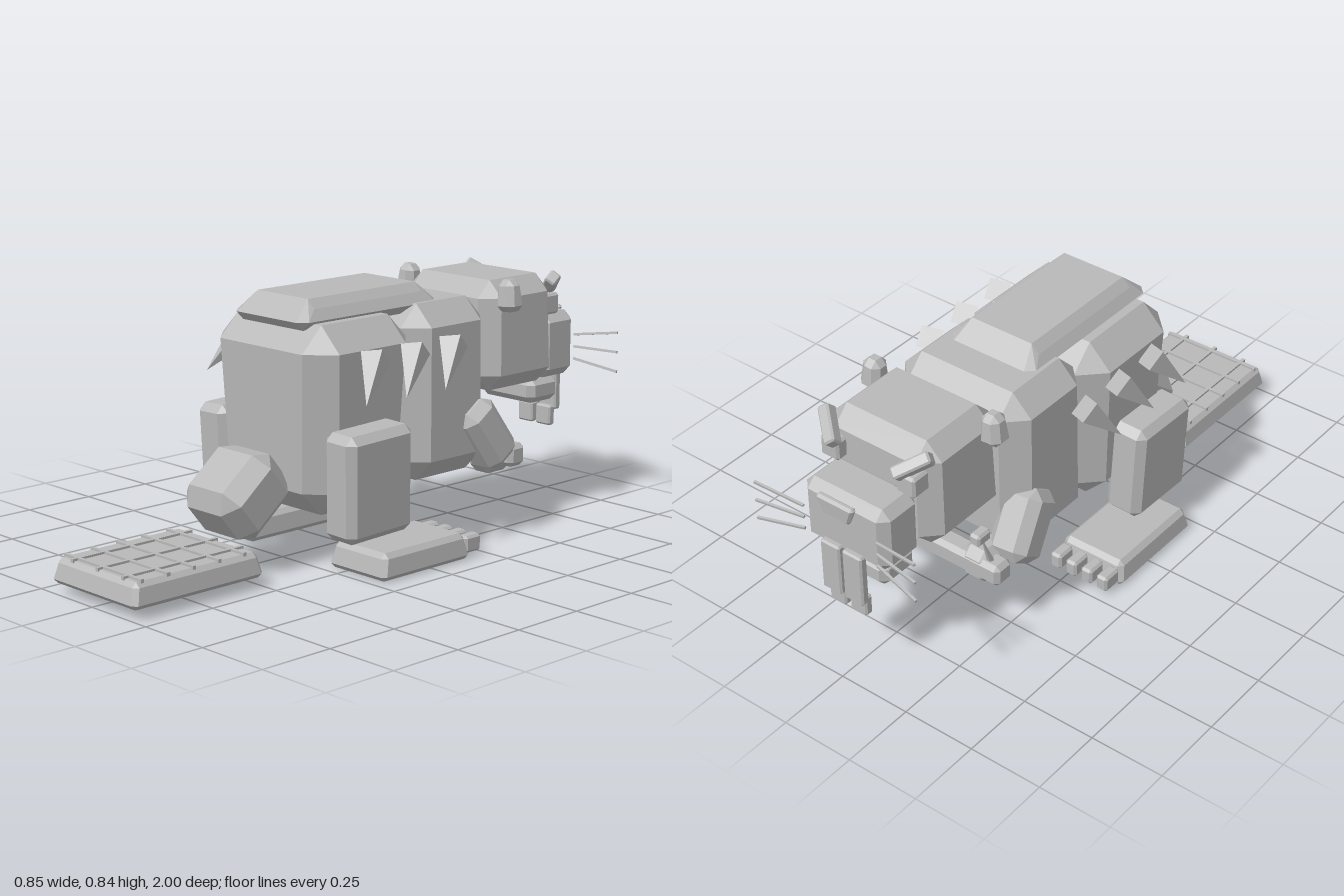
import * as THREE from 'three';
import { ConvexGeometry } from 'three/addons/geometries/ConvexGeometry.js';

const furGrey = new THREE.MeshStandardMaterial({ color: 0xb8b8b8 });
furGrey.name = 'furGrey';

// Box with bevelled edges; top and bottom are scaled in x and z for a taper
function bevelBox(w, h, d, c, top = 1, bottom = 1) {
  const points = [];
  for (const sx of [-1, 1]) for (const sy of [-1, 1]) for (const sz of [-1, 1]) {
    const t = sy > 0 ? top : bottom;
    const x = (w / 2) * t, y = h / 2, z = (d / 2) * t;
    points.push(
      new THREE.Vector3(sx * x, sy * (y - c), sz * (z - c)),
      new THREE.Vector3(sx * (x - c), sy * y, sz * (z - c)),
      new THREE.Vector3(sx * (x - c), sy * (y - c), sz * z));
  }
  return new ConvexGeometry(points);
}

export function createModel() {
  const model = new THREE.Group();
  model.name = 'beaver';

  function add(name, geometry, pos, rot = [0, 0, 0]) {
    const mesh = new THREE.Mesh(geometry, furGrey);
    mesh.name = name;
    mesh.position.set(...pos);
    mesh.rotation.set(...rot);
    model.add(mesh);
    return mesh;
  }
  // Places a geometry with its +y axis running from a to b
  function span(name, a, b, makeGeometry) {
    const from = new THREE.Vector3(...a), to = new THREE.Vector3(...b);
    const mesh = add(name, makeGeometry(from.distanceTo(to)), from.clone().lerp(to, 0.5).toArray());
    mesh.quaternion.setFromUnitVectors(new THREE.Vector3(0, 1, 0), to.sub(from).normalize());
  }
  const flatCone = (r, h, sides) => new THREE.ConeGeometry(r, h, sides).toNonIndexed();
  const facet = (g) => { g.computeVertexNormals(); return g; };

  // Torso and back
  add('hips', bevelBox(0.535, 0.6, 0.44, 0.08, 1, 0.92), [0, 0.467, 0.115]);
  add('chest', bevelBox(0.5, 0.57, 0.37, 0.07, 0.98, 1), [0, 0.495, -0.275]);
  add('backHump', bevelBox(0.33, 0.09, 0.6, 0.028, 0.86, 1), [0, 0.792, 0.012]);

  // Head
  add('head', bevelBox(0.43, 0.365, 0.345, 0.055, 0.96, 1), [0, 0.627, -0.638]);
  add('snout', bevelBox(0.32, 0.22, 0.165, 0.03), [0, 0.55, -0.873]);
  add('jaw', bevelBox(0.24, 0.085, 0.145, 0.022), [0, 0.392, -0.848]);
  add('nose', bevelBox(0.14, 0.065, 0.025, 0.008, 1, 0.75), [0, 0.63, -0.977]);

  // Tail
  add('tailBase', bevelBox(0.255, 0.21, 0.255, 0.05), [0, 0.245, 0.435], [0.68, 0, 0]);
  add('tail', bevelBox(0.4, 0.08, 0.5, 0.015, 0.95, 1), [0, 0.07, 0.75]);
  for (const x of [-0.12, 0, 0.12])
    add('tailRidge', new THREE.BoxGeometry(0.012, 0.012, 0.46), [x, 0.111, 0.75]);
  for (let i = 0; i < 5; i++)
    add('tailCrossRidge', new THREE.BoxGeometry(0.365, 0.012, 0.012), [0, 0.111, 0.565 + i * 0.0975]);

  for (const s of [-1, 1]) {
    // Face details
    add('ear', bevelBox(0.078, 0.105, 0.078, 0.02, 0.85, 1), [s * 0.228, 0.768, -0.54], [0, 0, s * 0.06]);
    add('eye', bevelBox(0.07, 0.07, 0.07, 0.008), [s * 0.145, 0.7, -0.808]);
    span('brow', [s * 0.2, 0.795, -0.785], [s * 0.115, 0.735, -0.855],
      (l) => bevelBox(0.045, l, 0.04, 0.006));
    add('upperTooth', bevelBox(0.075, 0.18, 0.03, 0.006), [s * 0.042, 0.39, -0.96]);
    add('lowerTooth', bevelBox(0.065, 0.07, 0.03, 0.006), [s * 0.04, 0.28, -0.94]);
    for (const k of [-1, 0, 1])
      span('whisker', [s * 0.14, 0.528 + k * 0.042, -0.968], [s * 0.307, 0.528 + k * 0.067, -0.996],
        (l) => new THREE.BoxGeometry(0.008, l, 0.008));

    // Back spikes, pointing down, outward and towards the tail
    for (let i = 0; i < 3; i++) {
      const z = 0.137 - i * 0.17;
      span('spike', [s * 0.302, 0.672, z], [s * 0.368, 0.543, z + 0.103],
        (l) => facet(flatCone(0.05, l, 4)));
    }

    // Front limbs
    add('arm', bevelBox(0.14, 0.235, 0.14, 0.032), [s * 0.23, 0.333, -0.415], [0.6, 0, s * 0.08]);
    add('hand', bevelBox(0.11, 0.12, 0.13, 0.028), [s * 0.17, 0.238, -0.52]);

    // Hind limbs
    add('thigh', bevelBox(0.133, 0.34, 0.275, 0.025), [s * 0.292, 0.284, 0.155], [0.03, 0, -s * 0.03]);
    add('foot', bevelBox(0.247, 0.085, 0.385, 0.016, 0.93, 1), [s * 0.301, 0.0425, 0.028]);
    for (let i = 0; i < 4; i++)
      add('toe', bevelBox(0.042, 0.055, 0.07, 0.008), [s * (0.211 + i * 0.06), 0.042, -0.19]);
  }

  // Gnawed branch with a twig and leaf
  add('branch', bevelBox(0.54, 0.075, 0.075, 0.015), [0, 0.24, -0.55]);
  span('twig', [-0.22, 0.27, -0.555], [-0.225, 0.395, -0.605], (l) => facet(flatCone(0.012, l, 5)));
  add('leaf', bevelBox(0.04, 0.04, 0.06, 0.008), [-0.225, 0.405, -0.61]);

  return model;
}
